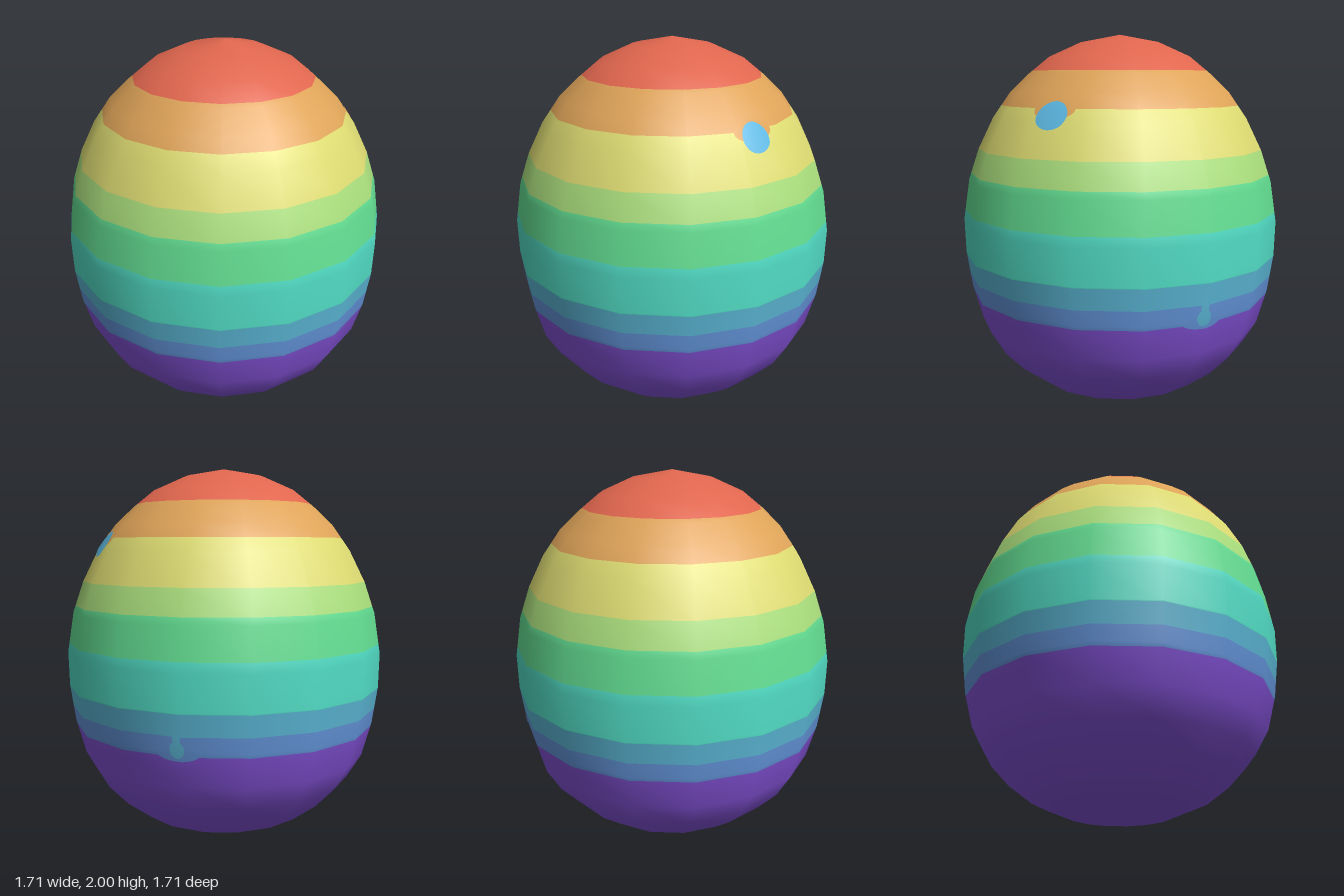
import * as THREE from 'three';

const SIDES = 16;

// Egg outline as [radius, height], bottom to top
const OUTLINE = [
  [0, 0], [0.28, 0.045], [0.466, 0.122], [0.598, 0.222], [0.7, 0.33], [0.775, 0.457],
  [0.825, 0.64], [0.853, 0.836], [0.857, 1.02], [0.823, 1.235], [0.767, 1.4],
  [0.685, 1.565], [0.59, 1.7], [0.49, 1.795], [0.38, 1.884], [0.21, 1.96], [0, 2],
];

// Bands from the bottom up: name, colour, upper edge
const BANDS = [
  ['violet', 0x8654dc, 0.62], ['periwinkle', 0x6496dc, 0.72], ['blue', 0x5cb9d8, 0.83],
  ['teal', 0x52dec6, 1.07], ['green', 0x63de92, 1.27], ['lime', 0xaade7c, 1.4],
  ['yellow', 0xdedc72, 1.63], ['orange', 0xdea358, 1.81], ['red', 0xe0664e, 2],
];

// Outline radius at a height
function radiusAt(y) {
  const i = Math.max(1, OUTLINE.findIndex((p) => p[1] >= y));
  const [r0, y0] = OUTLINE[i - 1], [r1, y1] = OUTLINE[i];
  return r0 + (r1 - r0) * (y - y0) / (y1 - y0);
}

// Elliptical paint spot wrapped onto the faceted shell
function paintSpot(name, material, angle, y, halfWidth, halfHeight, lift) {
  const geo = new THREE.RingGeometry(0, 1, 28, 6);
  const pos = geo.attributes.position, normal = geo.attributes.normal;
  const step = 2 * Math.PI / SIDES, centreRadius = radiusAt(y), n = new THREE.Vector3();
  for (let i = 0; i < pos.count; i++) {
    const a = angle + pos.getX(i) * halfWidth / centreRadius;
    const h = y + pos.getY(i) * halfHeight;
    const fromMiddle = a - (Math.floor(a / step) + 0.5) * step;
    const r = radiusAt(h) * Math.cos(step / 2) / Math.cos(fromMiddle);
    const slope = (radiusAt(h + 0.08) - radiusAt(h - 0.08)) / 0.16;
    n.set(Math.sin(a), -slope, Math.cos(a)).normalize();
    pos.setXYZ(i, r * Math.sin(a) + n.x * lift, h + n.y * lift, r * Math.cos(a) + n.z * lift);
    normal.setXYZ(i, n.x, n.y, n.z);
  }
  const mesh = new THREE.Mesh(geo, material);
  mesh.name = name;
  return mesh;
}

export function createModel() {
  const egg = new THREE.Group();
  egg.name = 'stripedEgg';
  const materials = {};
  const makeMaterial = (name, color) => {
    materials[name] = new THREE.MeshStandardMaterial({ color });
    materials[name].name = name;
  };
  BANDS.forEach(([name, color]) => makeMaterial(name, color));
  makeMaterial('skyBlue', 0x5cb8e2);

  // One smooth shell with extra rings at the band edges
  const heights = new Set([...OUTLINE.map((p) => p[1]), ...BANDS.map((b) => b[2])]);
  const points = [...heights].sort((a, b) => a - b)
    .map((y) => new THREE.Vector2(radiusAt(y), y));
  const shell = new THREE.LatheGeometry(points, SIDES);
  const rows = points.length - 1;

  // Each band takes its own rows of the shell, sharing the smooth normals
  let lower = 0;
  for (const [name, , upper] of BANDS) {
    const index = [];
    for (let s = 0; s < SIDES; s++) {
      for (let j = 0; j < rows; j++) {
        const middle = (points[j].y + points[j + 1].y) / 2;
        if (middle < lower || middle > upper) continue;
        const start = (s * rows + j) * 6;
        index.push(...shell.index.array.slice(start, start + 6));
      }
    }
    const geo = new THREE.BufferGeometry();
    geo.setAttribute('position', shell.attributes.position);
    geo.setAttribute('normal', shell.attributes.normal);
    geo.setIndex(index);
    const band = new THREE.Mesh(geo, materials[name]);
    band.name = name + 'Band';
    egg.add(band);
    lower = upper;
  }

  // Upper spot with the orange edge sagging around it
  const high = THREE.MathUtils.degToRad(53), low = THREE.MathUtils.degToRad(111);
  egg.add(paintSpot('upperSpotRim', materials.orange, high, 1.625, 0.115, 0.045, 0.003));
  egg.add(paintSpot('upperSpot', materials.skyBlue, high, 1.595, 0.083, 0.066, 0.006));

  // Small lower drip with its rim
  egg.add(paintSpot('lowerSpotRim', materials.periwinkle, low, 0.63, 0.105, 0.032, 0.003));
  egg.add(paintSpot('lowerSpot', materials.blue, low, 0.658, 0.037, 0.043, 0.006));
  egg.add(paintSpot('lowerSpotNeck', materials.blue, low, 0.71, 0.02, 0.03, 0.005));
  return egg;
}
